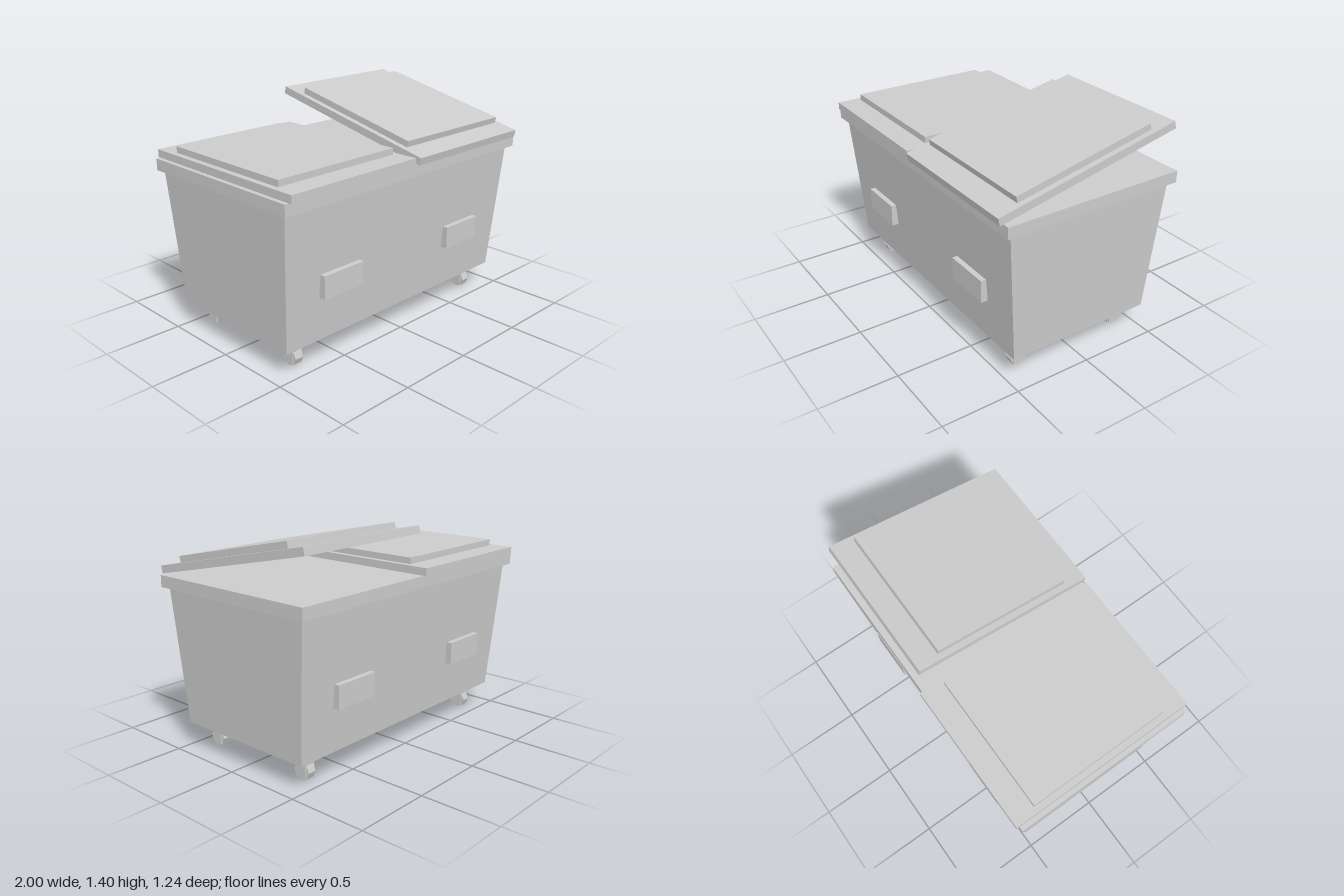
import * as THREE from 'three';

const Z0 = -0.01; // depth centre of the container

export function createModel() {
  const model = new THREE.Group();
  const material = new THREE.MeshStandardMaterial({ color: 0xcccccc, flatShading: true });

  function add(parent, name, geometry, x, y, z) {
    const mesh = new THREE.Mesh(geometry, material);
    mesh.name = name;
    mesh.position.set(x, y, z);
    parent.add(mesh);
    return mesh;
  }
  const box = (parent, name, w, h, d, x, y, z) =>
    add(parent, name, new THREE.BoxGeometry(w, h, d), x, y, z);

  // Container body: a box narrowed towards the floor
  const bodyGeometry = new THREE.BoxGeometry(1.94, 0.857, 1.105);
  const p = bodyGeometry.attributes.position;
  for (let i = 0; i < p.count; i++) {
    if (p.getY(i) < 0) {
      p.setX(i, Math.sign(p.getX(i)) * 0.922);
      p.setZ(i, Math.sign(p.getZ(i)) * 0.484);
    }
  }
  bodyGeometry.computeVertexNormals();
  add(model, 'body', bodyGeometry, -0.002, 0.5885, Z0);

  // Rim around the top
  box(model, 'rim', 2, 0.073, 1.18, 0, 1.0535, Z0);

  // Lids: a slab with a raised panel; the left one is propped open at the back
  function addLid(name, x, y, z, tilt) {
    const lid = new THREE.Group();
    lid.name = name;
    box(lid, 'lidSlab', 0.957, 0.048, 1.22, 0, 0, 0);
    box(lid, 'lidPanel', 0.883, 0.04, 0.927, 0, 0.044, 0);
    lid.position.set(x, y, z);
    lid.rotation.x = tilt;
    model.add(lid);
  }
  addLid('rightLidClosed', -0.493, 1.114, Z0, 0);
  addLid('leftLidOpen', 0.488, 1.24, 0.016, 0.21);

  // Lifting pockets on the front and back, casters at the corners
  for (const sx of [-1, 1]) {
    for (const sz of [-1, 1]) {
      box(model, 'liftPocket', 0.307, 0.145, 0.1, sx * 0.5365 - 0.003, 0.5125, Z0 + sz * 0.502);

      const caster = new THREE.Group();
      caster.name = 'caster';
      caster.position.set(sx * 0.777 - 0.002, 0, Z0 + sz * 0.367);
      box(caster, 'casterLeg', 0.074, 0.14, 0.076, 0, 0.09, 0);
      const wheel = new THREE.CylinderGeometry(0.057, 0.057, 0.056, 8).rotateZ(Math.PI / 2);
      add(caster, 'casterWheel', wheel, 0, 0.057, 0);
      model.add(caster);
    }
  }
  return model;
}
